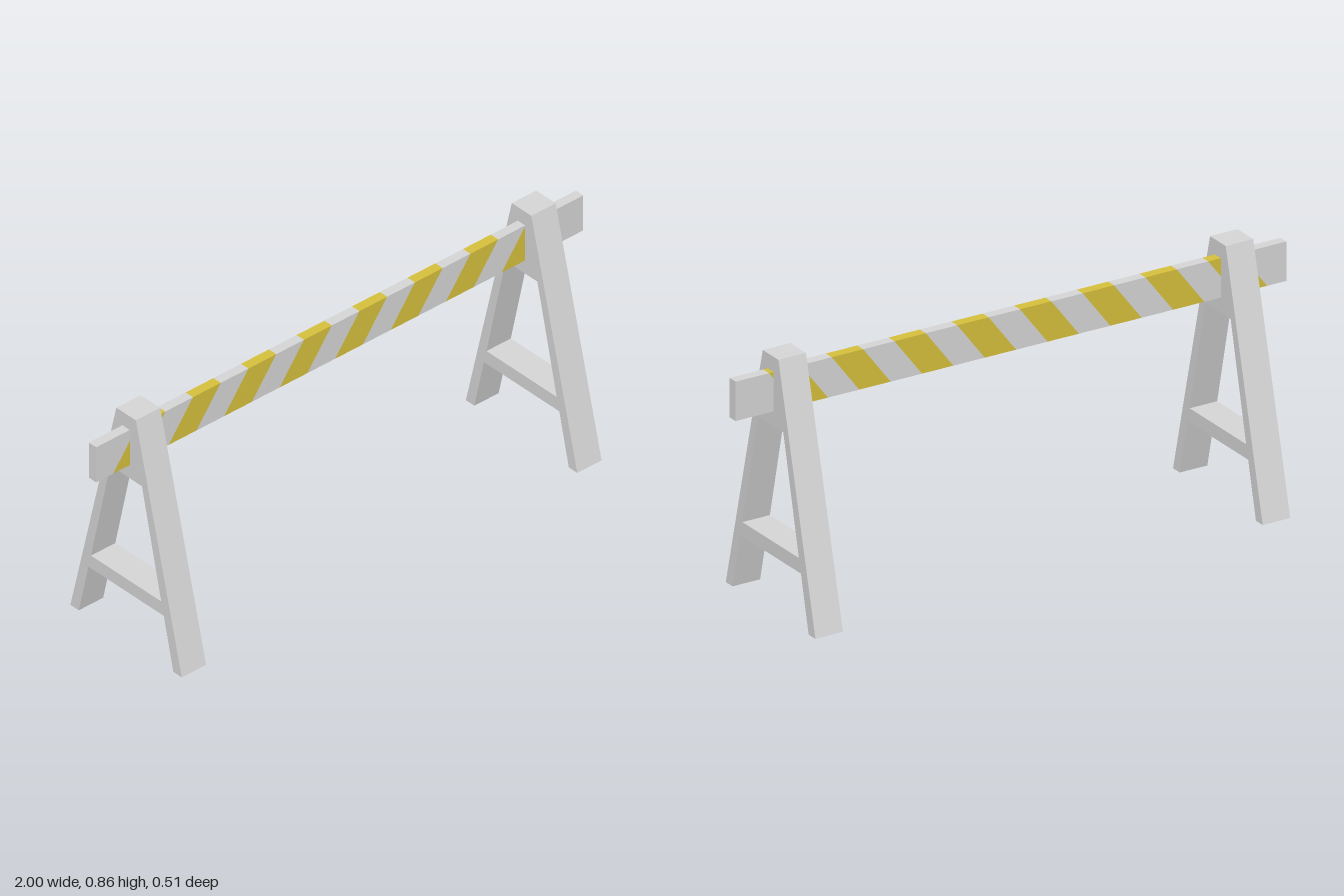
import * as THREE from 'three';

const grey = new THREE.MeshStandardMaterial({ color: 0xd6d6d6 });
grey.name = 'light grey';
const yellow = new THREE.MeshStandardMaterial({ color: 0xd6c03c });
yellow.name = 'warning yellow';

// Extrude a closed outline, centred on its depth
function extrude(points, depth, holes = []) {
  const toVectors = (list) => list.map(([x, y]) => new THREE.Vector2(x, y));
  const shape = new THREE.Shape(toVectors(points));
  for (const hole of holes) shape.holes.push(new THREE.Path(toVectors(hole)));
  return new THREE.ExtrudeGeometry(shape, { depth, bevelEnabled: false }).translate(0, 0, -depth / 2);
}

// A-shaped trestle with a crossbar and an open window above it
function trestleGeometry() {
  const half = [[0.045, 0.856], [0.257, 0], [0.218, 0], [0.174, 0.188]];
  const mirrored = half.map(([z, y]) => [-z, y]).reverse();
  const window = [[-0.162, 0.236], [0.162, 0.236], [0.073, 0.623], [-0.073, 0.623]];
  return extrude([...half, ...mirrored], 0.1, [window]).rotateY(Math.PI / 2);
}

// Plank cut into slanted segments, alternating grey and yellow
function createPlank() {
  const plank = new THREE.Group();
  plank.name = 'plank';
  const bottom = 0.673, top = 0.805, slant = 0.1;
  const first = -0.83, step = 0.1139, stripes = 8;
  const cuts = [[-1, -1]];
  for (let i = 0; i < stripes * 2; i++) {
    const x = first + i * step;
    cuts.push([x - slant, x]);
  }
  cuts.push([1, 1]);
  for (let i = 0; i < cuts.length - 1; i++) {
    const [a, b] = [cuts[i], cuts[i + 1]];
    const outline = [[a[0], bottom], [b[0], bottom], [b[1], top], [a[1], top]];
    const isStripe = i % 2 === 1;
    const segment = new THREE.Mesh(extrude(outline, 0.034), isStripe ? yellow : grey);
    segment.name = isStripe ? 'yellowStripe' : 'greySegment';
    plank.add(segment);
  }
  return plank;
}

export function createModel() {
  const model = new THREE.Group();
  model.name = 'barrier';
  const geometry = trestleGeometry();
  for (const side of [-1, 1]) {
    const trestle = new THREE.Mesh(geometry, grey);
    trestle.name = side > 0 ? 'leftTrestle' : 'rightTrestle';
    trestle.position.x = side * 0.812;
    model.add(trestle);
  }
  model.add(createPlank());
  return model;
}
